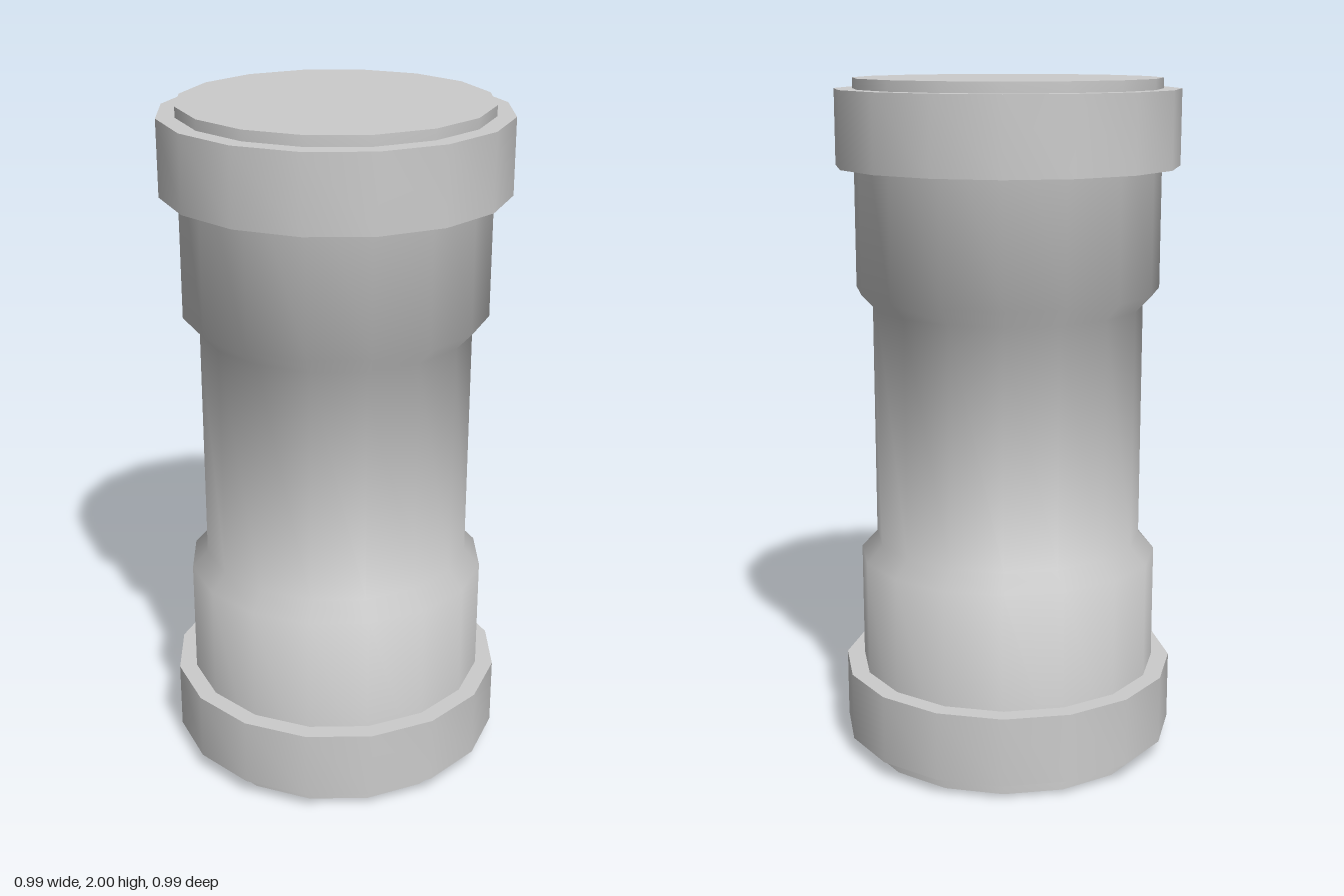
import * as THREE from 'three';
import { toCreasedNormals } from 'three/addons/utils/BufferGeometryUtils.js';

const SIDES = 16;
const TURN = Math.PI / 32; // quarter-facet twist shared by every part
const BODY_R = 0.444, WAIST_R = 0.397, COLLAR_R = 0.497;

// Revolve a [radius, height] profile; sides stay smooth, rims stay sharp
function turned(name, profile, material) {
  const points = profile.map(([r, y]) => new THREE.Vector2(r, y));
  const lathe = new THREE.LatheGeometry(points, SIDES, TURN);
  const mesh = new THREE.Mesh(toCreasedNormals(lathe, 1.0), material);
  mesh.name = name;
  return mesh;
}

export function createModel() {
  const group = new THREE.Group();
  group.name = 'canister';
  const material = new THREE.MeshStandardMaterial({ color: 0xcccccc });

  // Capped cylinder with a narrower waist
  group.add(turned('body', [
    [0, 0], [BODY_R, 0], [BODY_R, 0.6], [WAIST_R, 0.65],
    [WAIST_R, 1.35], [BODY_R, 1.4], [BODY_R, 2], [0, 2],
  ], material));

  // Raised bands near both ends
  const collars = [['lowerCollar', 0.05, 0.255], ['upperCollar', 1.753, 1.97]];
  for (const [name, y0, y1] of collars) {
    group.add(turned(name, [
      [BODY_R - 0.02, y0], [COLLAR_R, y0], [COLLAR_R, y1], [BODY_R - 0.02, y1],
    ], material));
  }

  return group;
}
